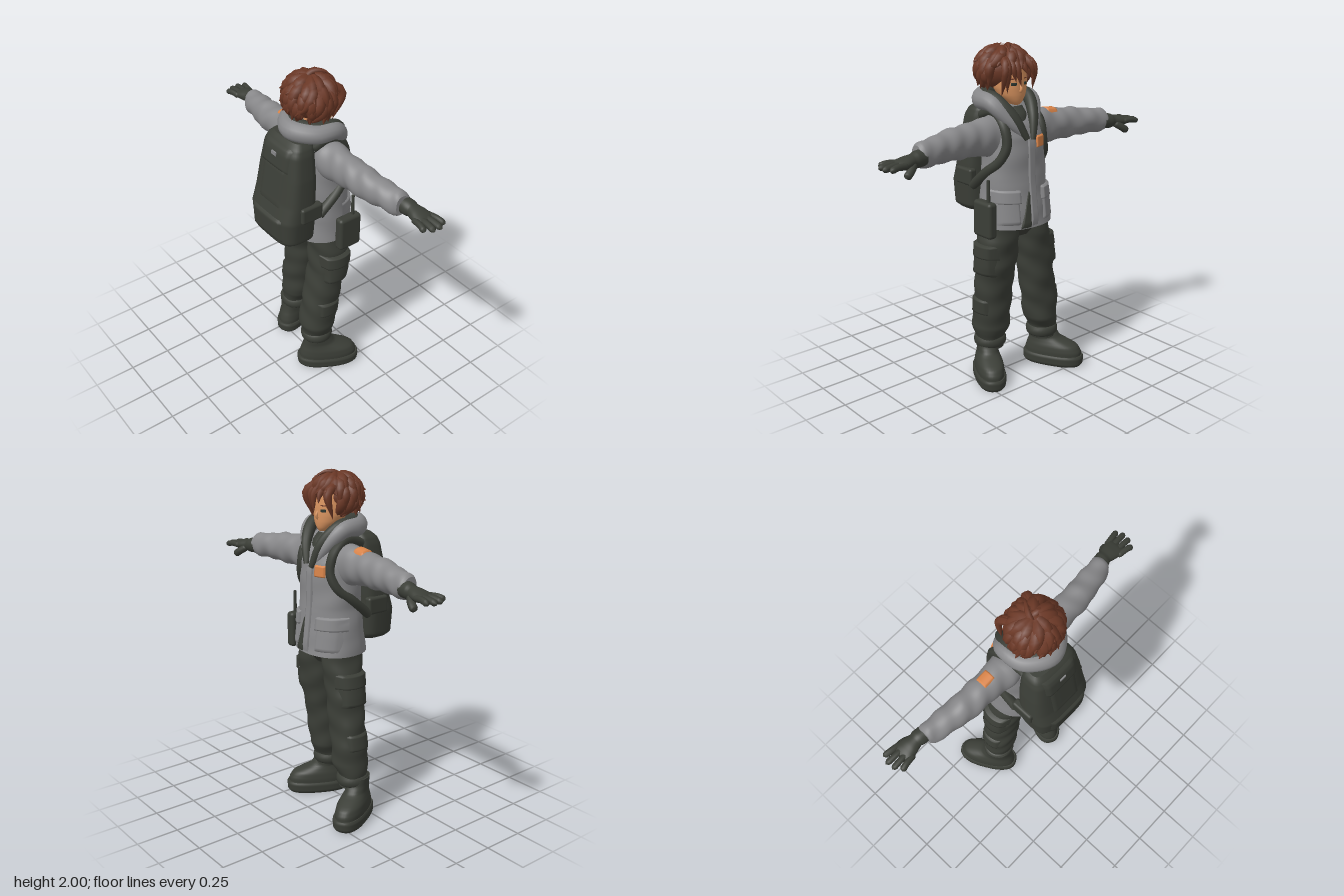
import * as THREE from 'three';
import { mergeVertices } from 'three/addons/utils/BufferGeometryUtils.js';
import { RoundedBoxGeometry } from 'three/addons/geometries/RoundedBoxGeometry.js';

const mat = (name, color) => Object.assign(new THREE.MeshStandardMaterial({ color }), { name });
const V = (x, y, z) => new THREE.Vector3(x, y, z);

// Axis maps: s runs along the part, p is its outward face, q its width
const upFront = (s, p, q) => [p, s, q];
const upBack = (s, p, q) => [-p, s, q];
const upSide = (k) => (s, p, q) => [q, s, k * p];
const armMap = (k) => (s, p, q) => [q, p, k * s];

function build(pos, idx, map) {
  const mirrored = V(...map(1, 0, 0)).dot(V(...map(0, 1, 0)).cross(V(...map(0, 0, 1)))) < 0;
  if (mirrored) for (let i = 0; i < idx.length; i += 3) [idx[i], idx[i + 1]] = [idx[i + 1], idx[i]];
  const g = new THREE.BufferGeometry().setIndex(idx);
  g.setAttribute('position', new THREE.Float32BufferAttribute(pos, 3));
  g.computeVertexNormals();
  return g;
}

// Cross-section [s, centre p, centre q, radius p, radius q] at s
function at(secs, s) {
  let i = 0;
  while (i < secs.length - 2 && s > secs[i + 1][0]) i++;
  const t = THREE.MathUtils.clamp((s - secs[i][0]) / (secs[i + 1][0] - secs[i][0]), 0, 1);
  return secs[i].map((v, k) => v + (secs[i + 1][k] - v) * t);
}

// Closed body through superellipse sections, with optional cloth folds
function loft(secs, map, { n = 2, fold = 0, freq = 60 } = {}) {
  const N = 40, s0 = secs[0][0], s1 = secs[secs.length - 1][0], pos = [], idx = [];
  const rows = Math.max(secs.length * 3, Math.ceil((s1 - s0) / 0.012));
  const pw = (v) => Math.sign(v) * Math.abs(v) ** (2 / n);
  for (let i = 0; i <= rows; i++) {
    const [s, cp, cq, a, b] = at(secs, s0 + (s1 - s0) * i / rows);
    for (let j = 0; j < N; j++) {
      const th = j / N * Math.PI * 2, k = i * N, j2 = (j + 1) % N;
      const w = fold * (Math.sin(s * freq + 2.5 * Math.sin(th + 1)) + 0.6 * Math.sin(s * freq * 0.57 + 3 * th));
      pos.push(...map(s, cp + (a + w) * pw(Math.cos(th)), cq + (b + w) * pw(Math.sin(th))));
      if (i < rows) idx.push(k + j, k + j2, k + N + j, k + j2, k + N + j2, k + N + j);
    }
  }
  for (const end of [0, rows]) {
    const c = pos.length / 3, ring = pos.slice(end * N * 3, (end + 1) * N * 3);
    pos.push(...map(...at(secs, end ? s1 : s0).slice(0, 3)), ...ring);
    for (let j = 0; j < N; j++) {
      const u = c + 1 + j, v = c + 1 + (j + 1) % N;
      idx.push(...(end ? [c, u, v] : [c, v, u]));
    }
  }
  return build(pos, idx, map);
}

// Pad laid on a body, its rim sinking back to the surface; edge(s) gives its two q limits
function plate(secs, map, n, s0, s1, edge, lift) {
  const R = 12, pos = [], idx = [];
  for (let i = 0; i <= R; i++) for (let j = 0; j <= R; j++) {
    const s = s0 + (s1 - s0) * i / R, [q0, q1] = typeof edge === 'function' ? edge(s) : edge;
    const q = q0 + (q1 - q0) * j / R, [, cp, cq, a, b] = at(secs, s);
    const u = Math.min(0.985, Math.abs((q - cq) / b)), rim = i % R === 0 || j % R === 0;
    pos.push(...map(s, cp + a * (1 - u ** n) ** (1 / n) + (rim ? -0.004 : lift), q));
    const k = i * (R + 1) + j;
    if (i < R && j < R) idx.push(k, k + 1, k + R + 1, k + 1, k + R + 2, k + R + 1);
  }
  return build(pos, idx, map);
}

// Tube through points with a radius that varies along it
function taper(points, width, sides = 8, seg = 12) {
  const c = new THREE.CatmullRomCurve3(points), v = V();
  const g = new THREE.TubeGeometry(c, seg, 1, sides), p = g.attributes.position;
  for (let i = 0; i < p.count; i++) {
    const t = Math.floor(i / (sides + 1)) / seg, o = c.getPointAt(t);
    v.fromBufferAttribute(p, i).sub(o).multiplyScalar(width(t)).add(o);
    p.setXYZ(i, v.x, v.y, v.z);
  }
  g.deleteAttribute('uv');
  g.deleteAttribute('normal');
  const m = mergeVertices(g, 1e-5);
  m.computeVertexNormals();
  return m;
}
const rounded = (r) => (t) => r * Math.max(0.02, Math.min(1, Math.sqrt(t * 8), Math.sqrt((1 - t) * 8)));

export function createModel() {
  const root = new THREE.Group();
  const cloth = mat('greyJacketCloth', 0x88888a), gear = mat('darkGreenCloth', 0x3b3e37), hair = mat('brownHair', 0x6b3826);
  const skin = mat('skin', 0xd8935f), orange = mat('orangePatch', 0xd98449), eye = mat('darkEye', 0x2a352f);
  const put = (object, name, parent) => {
    parent.add(Object.assign(object, { name }));
    return object;
  };
  const add = (name, geo, m, parent = root) => put(new THREE.Mesh(geo, m), name, parent);
  const group = (name, parent = root) => put(new THREE.Group(), name, parent);

  // Jacket body with open front, placket and pockets
  const jacket = [[0.985, 0.07, 0, 0.185, 0.22], [1.1, 0.072, 0, 0.168, 0.21], [1.25, 0.068, 0.005, 0.154, 0.194], [1.4, 0.067, 0.005, 0.149, 0.19],
    [1.5, 0.066, 0.005, 0.145, 0.183], [1.57, 0.058, 0.01, 0.125, 0.168], [1.63, 0.045, 0.015, 0.095, 0.135], [1.67, 0.035, 0.02, 0.07, 0.09]];
  const front = (name, s0, s1, edge, lift, m) => add(name, plate(jacket, upFront, 2.2, s0, s1, edge, lift), m);
  add('jacketBody', loft(jacket, upFront, { n: 2.2, fold: 0.0015, freq: 40 }), cloth);
  add('hips', loft([[0.91, 0.07, 0, 0.08, 0.13], [0.97, 0.07, 0, 0.125, 0.195], [1.0, 0.07, 0, 0.17, 0.2]], upFront), gear);
  front('jacketOpening', 0.986, 1.2, (s) => [0.025, 0.095 - (s - 0.985) * 0.3], 0.006, gear);
  front('placket', 0.99, 1.52, [-0.025, 0.024], 0.009, cloth);
  for (const [a, b] of [[0.09, 0.2], [-0.2, -0.07]]) {
    front('jacketPocket', 1.01, 1.16, [a, b], 0.01, cloth);
    front('pocketFlap', 1.13, 1.21, [a - 0.008, b + 0.008], 0.018, cloth);
  }
  front('chestPatch', 1.43, 1.5, [-0.11, -0.038], 0.009, orange);

  // Hood with a dark rim running down to the chest
  const hoodPath = (d, y, f) => [V(0.2 + f, 1.49, 0.03), V(0.15 + f, 1.6 + y, 0.115 - d), V(0.07, 1.685 + y, 0.165 - d),
    V(-0.04, 1.69 + y, 0.145 - d), V(-0.12 + d, 1.695 + y, 0.03), V(-0.04, 1.69 + y, -0.095 + d), V(0.07, 1.685 + y, -0.115 + d),
    V(0.15 + f, 1.6 + y, -0.075 + d), V(0.2 + f, 1.48, -0.01)];
  const swell = (a, b) => (t) => a + b * Math.sin(Math.PI * t) ** 0.7;
  add('hood', taper(hoodPath(0, 0, 0), swell(0.01, 0.048), 14, 60), cloth);
  add('hoodRim', taper(hoodPath(0.022, 0.02, 0.014), swell(0.016, 0.026), 12, 60), gear);
  add('shirtCollar', loft([[1.56, 0.07, 0.02, 0.11, 0.07], [1.62, 0.06, 0.02, 0.1, 0.085], [1.66, 0.045, 0.02, 0.075, 0.075]], upFront), gear);
  add('neck', new THREE.CylinderGeometry(0.052, 0.06, 0.16, 20), skin).position.set(0.035, 1.66, 0.02);

  // Head and face
  const head = [[1.668, 0.1, 0.02, 0.026, 0.022], [1.685, 0.09, 0.02, 0.05, 0.045], [1.72, 0.068, 0.02, 0.078, 0.078],
    [1.76, 0.052, 0.02, 0.095, 0.095], [1.81, 0.045, 0.02, 0.1, 0.1], [1.88, 0.038, 0.02, 0.098, 0.1], [1.94, 0.02, 0.02, 0.06, 0.07]];
  add('head', loft(head, upFront), skin);
  add('nose', taper([V(0.137, 1.79, 0.02), V(0.152, 1.755, 0.02), V(0.14, 1.743, 0.02)], (t) => 0.005 + 0.006 * t, 8, 6), skin);
  for (const c of [0.062, -0.022]) {
    add('eye', plate(head, upFront, 2, 1.778, 1.795, [c - 0.016, c + 0.016], 0.003), eye);
    add('eyebrow', plate(head, upFront, 2, 1.812, 1.818, [c - 0.018, c + 0.018], 0.003), hair);
  }

  // Tousled hair: a cap covered in long, flicked, tapering locks
  const locks = group('hair');
  const onCap = (phi, th, r) => V(0.005 + 0.13 * r * Math.sin(th) * Math.cos(phi), 1.85 + 0.115 * r * Math.cos(th), 0.03 + 0.14 * r * Math.sin(th) * Math.sin(phi));
  const cap = add('hairCap', new THREE.SphereGeometry(1, 32, 20), hair, locks);
  cap.scale.set(0.126, 0.115, 0.138);
  cap.position.set(0.003, 1.855, 0.03);
  const lock = (name, pts, w) => add(name, taper(pts, (t) => w * Math.max(0.03, (0.55 + t) * (1 - t) * 1.65), 7, 10), hair, locks);
  let seed = 11;
  const rnd = () => (seed = (seed * 16807) % 2147483647) / 2147483647;
  for (const [count, t0, t1, w] of [[9, 0.15, 1.3, 0.036], [14, 0.5, 1.75, 0.035], [18, 0.95, 2.1, 0.032], [16, 1.35, 2.4, 0.03]]) {
    for (let i = 0; i < count; i++) {
      const phi = (i + rnd() * 0.7) / count * Math.PI * 2, facing = Math.cos(phi) > 0.6;
      const flick = 1.1 + rnd() * 0.24, twist = (rnd() - 0.25) * 0.9;
      const end = facing ? Math.min(t1, 1.4) : t1 + (rnd() - 0.5) * 0.35;
      if (facing && t0 > 0.9) continue;
      lock('hairLock', [onCap(phi, t0, 0.95), onCap(phi + twist * 0.15, t0 * 0.6 + end * 0.4, 1.03),
        onCap(phi + twist * 0.5, t0 * 0.25 + end * 0.75, 1.04), onCap(phi + twist, end, facing ? 1.2 : flick)], w);
    }
  }
  for (const [z, y, x] of [[0.045, 1.775, 0.162], [0.075, 1.8, 0.155], [0.11, 1.74, 0.12], [0.125, 1.72, 0.09], [-0.075, 1.745, 0.12], [-0.06, 1.81, 0.15],
    [-0.005, 1.83, 0.168]]) {
    lock('fringeLock', [V(0.07, 1.93, z * 0.7), V(0.142, 1.88, z), V(x, y, z - 0.014)], 0.024);
  }
  lock('crownLock', [V(-0.03, 1.94, 0), V(0.03, 1.985, 0.015), V(0.08, 1.985, 0.05), V(0.11, 1.96, 0.07)], 0.018);
  lock('crownLock', [V(0.02, 1.94, 0.02), V(0.01, 1.975, 0.06), V(-0.01, 1.965, 0.11)], 0.02);

  // Sleeves and gloved hands
  const sleeve = [[0.08, 1.5, 0.05, 0.1, 0.1], [0.16, 1.505, 0.052, 0.115, 0.094], [0.22, 1.5, 0.056, 0.108, 0.083], [0.3, 1.503, 0.057, 0.095, 0.079],
    [0.45, 1.497, 0.064, 0.088, 0.079], [0.58, 1.49, 0.083, 0.074, 0.07], [0.64, 1.485, 0.094, 0.073, 0.065], [0.675, 1.482, 0.098, 0.069, 0.06],
    [0.69, 1.48, 0.1, 0.056, 0.05]];
  const palm = [[0.66, 1.478, 0.115, 0.047, 0.045], [0.72, 1.474, 0.122, 0.045, 0.046], [0.735, 1.472, 0.124, 0.037, 0.04],
    [0.78, 1.468, 0.125, 0.035, 0.053], [0.825, 1.464, 0.125, 0.026, 0.06], [0.85, 1.461, 0.125, 0.014, 0.05]];
  for (const k of [1, -1]) {
    const arm = group(k < 0 ? 'leftArm' : 'rightArm'), m = armMap(k);
    const digit = (name, r, ...pts) => add(name, taper(pts.map(([x, y, z]) => V(x, y, k * z)), rounded(r), 10, 14), gear, arm);
    add('sleeve', loft(sleeve, m, { fold: 0.003, freq: 55 }), cloth, arm);
    add('glove', loft(palm, m), gear, arm);
    for (const [x0, x1, z] of [[0.078, 0.058, 0.9], [0.108, 0.102, 0.928], [0.138, 0.146, 0.932], [0.166, 0.186, 0.912]])
      digit('finger', 0.0175, [x0, 1.464, 0.79], [(x0 + x1) / 2, 1.468, 0.86], [x1, 1.458, z]);
    digit('thumb', 0.022, [0.145, 1.462, 0.74], [0.175, 1.43, 0.785], [0.185, 1.405, 0.82]);
    if (k < 0) add('sleevePatch', plate(sleeve, m, 2, 0.235, 0.312, [0.025, 0.1], 0.008), orange, arm);
  }

  // Trouser legs with cargo pockets, and boots
  const legs = { 1: [[0.19, 0.12, -0.01, 0.075, 0.08], [0.27, 0.12, -0.01, 0.085, 0.09], [0.33, 0.12, -0.005, 0.106, 0.112], [0.45, 0.12, 0.01, 0.108, 0.11],
    [0.6, 0.125, 0.03, 0.11, 0.108], [0.75, 0.125, 0.06, 0.115, 0.11], [0.9, 0.12, 0.07, 0.115, 0.115], [1.02, 0.11, 0.07, 0.105, 0.12]],
  [-1]: [[0.19, 0.22, 0.08, 0.075, 0.08], [0.27, 0.22, 0.08, 0.082, 0.085], [0.33, 0.2, 0.085, 0.102, 0.1], [0.45, 0.19, 0.085, 0.108, 0.1],
    [0.6, 0.163, 0.085, 0.11, 0.1], [0.75, 0.148, 0.085, 0.108, 0.103], [0.9, 0.118, 0.08, 0.107, 0.112], [1.02, 0.1, 0.07, 0.105, 0.12]] };
  const upper = [[0.05, 0, 0, 0.18, 0.082], [0.09, 0, 0, 0.178, 0.083], [0.125, -0.006, 0, 0.162, 0.078], [0.145, -0.025, 0, 0.135, 0.07],
    [0.17, -0.055, 0, 0.098, 0.062], [0.21, -0.066, 0, 0.08, 0.064], [0.255, -0.068, 0, 0.076, 0.068]];
  const sole = [[0, 0, 0, 0.178, 0.08], [0.015, 0, 0, 0.19, 0.09], [0.055, 0, 0, 0.193, 0.092], [0.068, 0, 0, 0.186, 0.085]];
  for (const k of [1, -1]) {
    const leg = group(k < 0 ? 'leftLeg' : 'rightLeg'), m = upSide(k), secs = legs[k];
    const [, cz, cx] = at(secs, 0.24), px = at(secs, 0.78)[2], kx = at(secs, 0.48)[2];
    const pad = (name, s0, s1, c, half, lift) => add(name, plate(secs, m, 2.2, s0, s1, [c - half, c + half], lift), gear, leg);
    add('trouserLeg', loft(secs, m, { n: 2.2, fold: 0.003, freq: 42 }), gear, leg);
    pad('cargoPocket', 0.69, 0.85, px, 0.088, 0.022);
    pad('cargoFlap', 0.8, 0.885, px, 0.097, 0.03);
    pad('kneePocket', 0.43, 0.53, kx, 0.073, 0.01);
    const strap = add('ankleStrap', new THREE.TorusGeometry(0.08, 0.018, 10, 32), gear, leg);
    strap.rotation.x = Math.PI / 2;
    strap.scale.z = 1.8;
    strap.position.set(cx, 0.235, k * cz);
    const boot = group('boot', leg);
    boot.position.set(k > 0 ? 0.042 : 0.125, 0, k > 0 ? 0.17 : -0.28);
    boot.rotation.y = -k * 0.5;
    add('bootUpper', loft(upper, upFront, { n: 2.3 }), gear, boot);
    add('bootSole', loft(sole, upFront, { n: 2.5 }), gear, boot);
  }

  // Backpack with panels, side pouches and shoulder straps
  const pack = group('backpack');
  const bag = [[1.035, 0.165, 0.01, 0.1, 0.16], [1.06, 0.167, 0.01, 0.115, 0.19], [1.2, 0.167, 0.01, 0.122, 0.2], [1.3, 0.15, 0.01, 0.108, 0.195],
    [1.45, 0.134, 0.01, 0.098, 0.182], [1.59, 0.122, 0.01, 0.086, 0.16], [1.63, 0.112, 0.01, 0.074, 0.145], [1.652, 0.105, 0.01, 0.055, 0.12]];
  const panel = (name, ...r) => add(name, plate(bag, upBack, 3.4, ...r), gear, pack);
  add('packBody', loft(bag, upBack, { n: 3.4 }), gear, pack);
  panel('lowerPocket', 1.07, 1.22, [-0.13, 0.15], 0.01);
  panel('packFlap', 1.27, 1.52, [-0.09, 0.11], 0.006);
  panel('packLid', 1.49, 1.63, [-0.11, 0.13], 0.011);
  add('packTab', new THREE.BoxGeometry(0.009, 0.022, 0.04), cloth, pack).position.set(-0.222, 1.575, 0.01);
  for (const k of [1, -1]) {
    add('sidePouch', new RoundedBoxGeometry(0.14, 0.1, 0.05, 3, 0.015), gear, pack).position.set(-0.12, 1.245, 0.01 + k * 0.19);
    const path = [[-0.06, 1.6, 0.12], [0.05, 1.63, 0.128], [0.14, 1.57, 0.132], [0.168, 1.46, 0.133], [0.14, 1.37, 0.162], [0.065, 1.305, 0.188], [-0.06, 1.2, 0.19]];
    add('shoulderStrap', taper(path.map(([x, y, z]) => V(x, y, 0.008 + k * z)), () => 0.028, 8, 50), gear, pack);
  }

  // Radio in a hip pouch
  const radio = group('radio');
  add('radioPouch', new RoundedBoxGeometry(0.15, 0.21, 0.06, 3, 0.02), gear, radio).position.set(0.11, 1.05, 0.25);
  add('radioAntenna', new THREE.CylinderGeometry(0.009, 0.011, 0.14, 10), gear, radio).position.set(0.14, 1.21, 0.25);
  return root;
}
